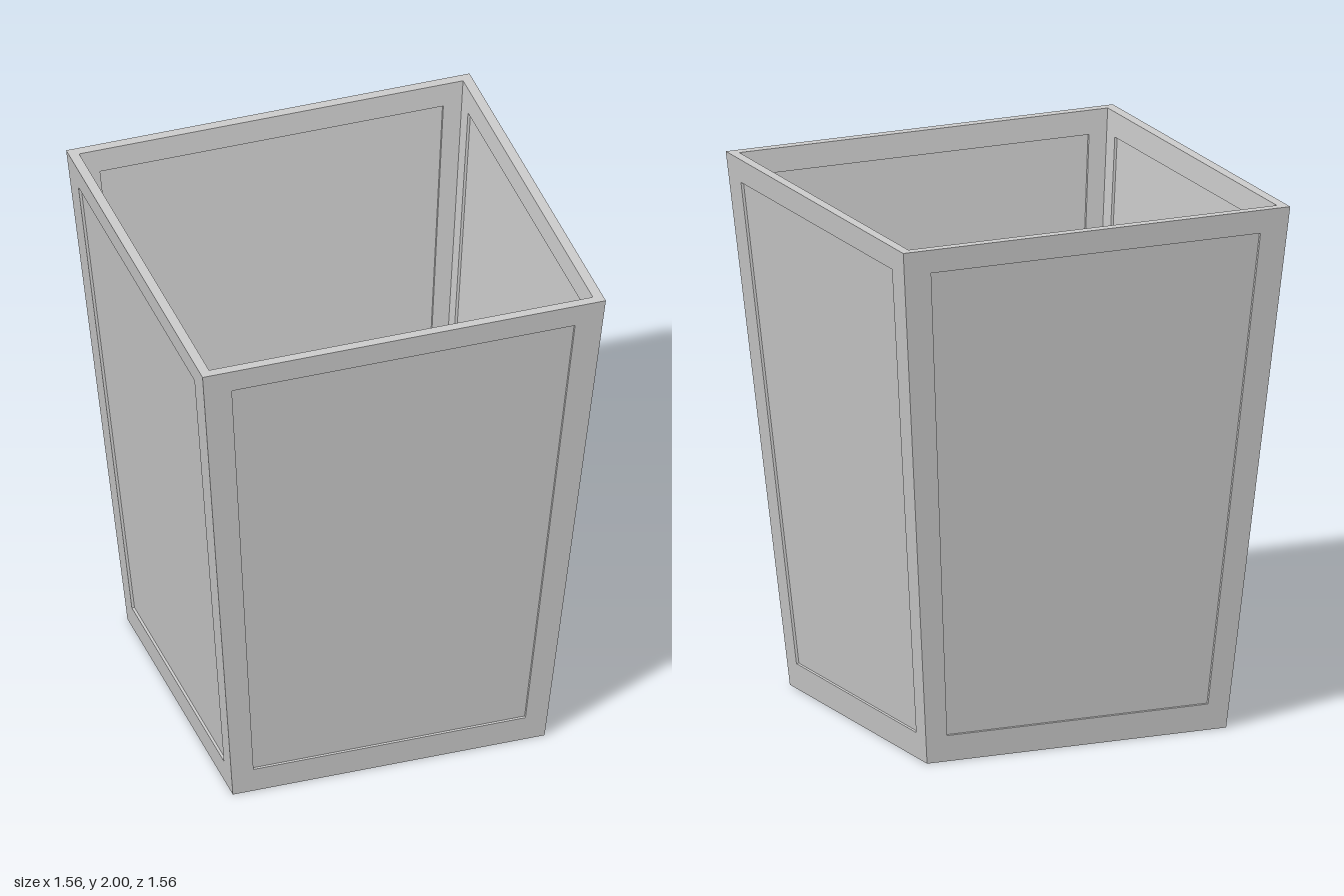
import * as THREE from 'three';

const HEIGHT = 2, FLOOR = 0.1;
const INNER = 0.952;   // inner width / outer width
const PANEL = 0.86;    // panel width / outer width
const RECESS = 0.01;
const half = (y) => 0.602 + 0.0885 * y; // tapered half-width at height y

const V = (x, y, z) => new THREE.Vector3(x, y, z);

function addQuad(out, a, b, c, d) {
  for (const p of [a, b, c, a, c, d]) out.push(p.x, p.y, p.z);
}

// Border, step and sunken panel; corners run counter-clockwise seen from the face
function addPaneledFace(out, outer, panel) {
  const u = outer[1].clone().sub(outer[0]);
  const v = outer[3].clone().sub(outer[0]);
  const inward = u.cross(v).normalize().multiplyScalar(-RECESS);
  const sunk = panel.map((p) => p.clone().add(inward));
  for (let i = 0; i < 4; i++) {
    const j = (i + 1) % 4;
    addQuad(out, outer[i], outer[j], panel[j], panel[i]);
    addQuad(out, panel[i], panel[j], sunk[j], sunk[i]);
  }
  addQuad(out, ...sunk);
}

// Tapered outline on the +z wall: depth ratio k, width ratio w, from y0 to y1
function wallOutline(k, w, y0, y1) {
  const p = (s, y) => V(s * w * half(y), y, k * half(y));
  return [p(-1, y0), p(1, y0), p(1, y1), p(-1, y1)];
}

// Level square, facing up
function square(r, y) {
  return [V(-r, y, r), V(r, y, r), V(r, y, -r), V(-r, y, -r)];
}

function toGeometry(positions) {
  const g = new THREE.BufferGeometry();
  g.setAttribute('position', new THREE.Float32BufferAttribute(positions, 3));
  g.computeVertexNormals();
  return g;
}

function wallGeometry() {
  const out = [];
  const outside = wallOutline(1, 1, 0, HEIGHT);
  const inside = wallOutline(INNER, INNER, FLOOR, HEIGHT);
  addPaneledFace(out, outside, wallOutline(1, PANEL, 0.1, 1.91));
  // inner face is mirrored so that it faces the middle
  const flip = ([a, b, c, d]) => [b, a, d, c];
  addPaneledFace(out, flip(inside), flip(wallOutline(INNER, PANEL, FLOOR + 0.008, 1.91)));
  // rim
  addQuad(out, outside[3], outside[2], inside[2], inside[3]);
  return toGeometry(out);
}

function baseGeometry() {
  const out = [];
  const flip = ([a, b, c, d]) => [b, a, d, c];
  addPaneledFace(out, square(INNER * half(FLOOR), FLOOR), square(PANEL * half(FLOOR), FLOOR));
  addPaneledFace(out, flip(square(half(0), 0)), flip(square(PANEL * half(0), 0)));
  return toGeometry(out);
}

export function createModel() {
  const model = new THREE.Group();
  model.name = 'taperedPlanter';
  const material = new THREE.MeshStandardMaterial({ color: 0xcccccc, flatShading: true });

  // four identical walls
  const wall = wallGeometry();
  ['frontWall', 'leftWall', 'backWall', 'rightWall'].forEach((name, i) => {
    const mesh = new THREE.Mesh(wall, material);
    mesh.name = name;
    mesh.rotation.y = (i * Math.PI) / 2;
    model.add(mesh);
  });

  // floor slab
  const base = new THREE.Mesh(baseGeometry(), material);
  base.name = 'base';
  model.add(base);
  return model;
}
